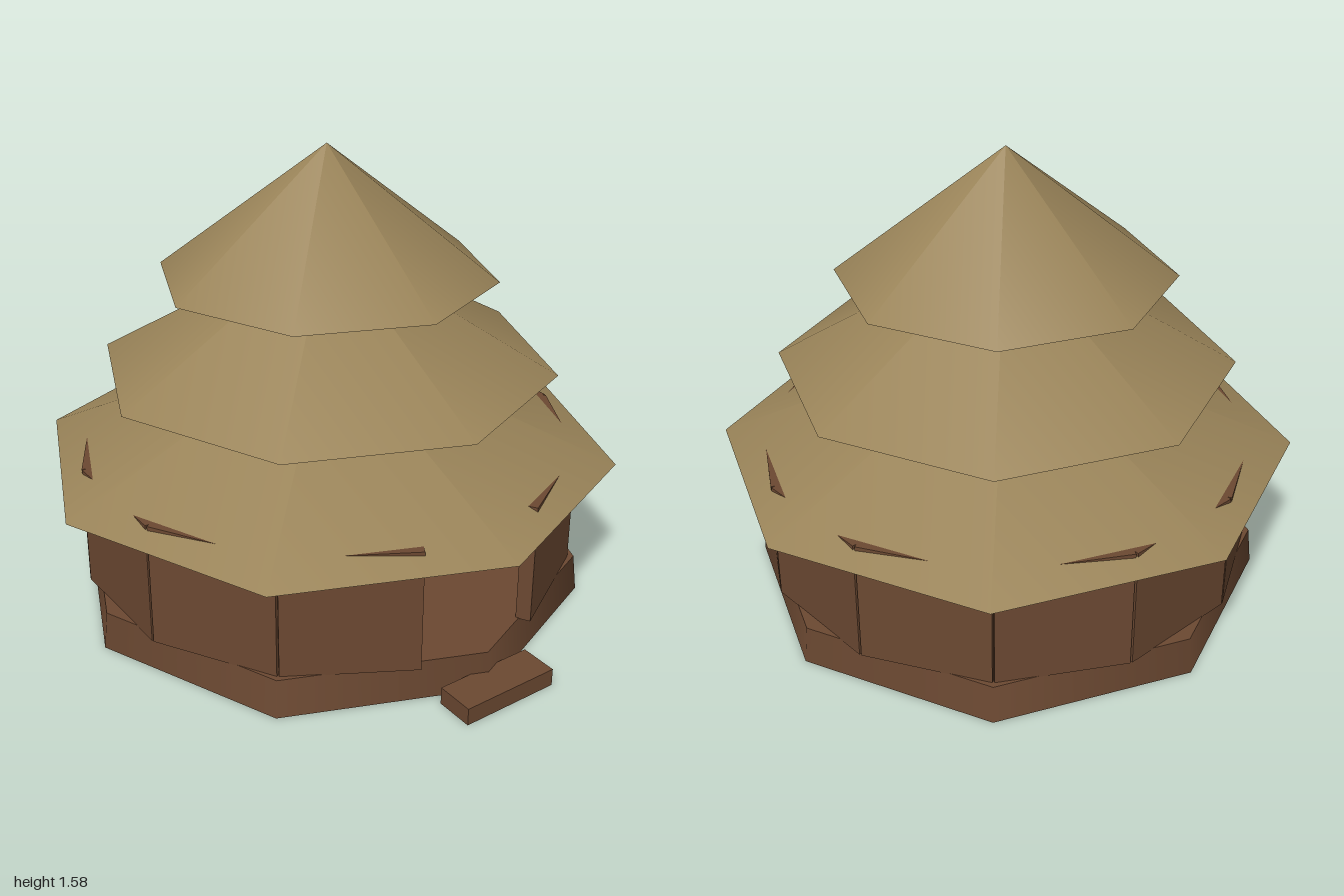
import * as THREE from 'three';

export function createModel() {
  const hut = new THREE.Group();
  hut.name = 'tieredHut';

  const paint = (name, color) => {
    const m = new THREE.MeshStandardMaterial({ color });
    m.name = name;
    return m;
  };
  const thatch = paint('thatch', 0x9a8459);
  const wood = paint('wood', 0x6c4932);
  const darkWood = paint('darkWood', 0x543828);

  const add = (name, geometry, material, x = 0, y = 0, z = 0, parent = hut) => {
    const mesh = new THREE.Mesh(geometry, material);
    mesh.name = name;
    mesh.position.set(x, y, z);
    parent.add(mesh);
    return mesh;
  };

  // Eight-sided platform and the loose entrance step
  add('platform', new THREE.CylinderGeometry(0.885, 0.9, 0.13, 8), wood, 0, 0.065, 0);
  add('entranceStep', new THREE.BoxGeometry(0.35, 0.06, 0.13), wood, 0, 0.03, 0.935);

  // Twelve-sided wall of planks; the front side stays open as the doorway
  const walls = new THREE.Group();
  walls.name = 'walls';
  hut.add(walls);
  const plank = new THREE.BoxGeometry(0.44, 0.423, 0.05);
  for (let i = 1; i < 12; i++) {
    const a = (i / 12) * Math.PI * 2;
    const panel = add('wallPanel', plank, wood, Math.sin(a) * 0.81, 0.3385, Math.cos(a) * 0.81, walls);
    panel.rotation.y = a;
  }

  // Four inner posts that reach up to the second roof
  for (const x of [-0.23, 0.23]) {
    for (const z of [-0.23, 0.23]) {
      add('post', new THREE.CylinderGeometry(0.025, 0.025, 0.71, 8), darkWood, x, 0.485, z);
    }
  }

  // Hearth on the floor
  add('hearth', new THREE.CylinderGeometry(0.11, 0.135, 0.03, 8), wood, 0, 0.145, 0);

  // Ladder behind the hearth
  const ladder = new THREE.Group();
  ladder.name = 'ladder';
  ladder.position.z = -0.2;
  hut.add(ladder);
  for (const x of [-0.056, 0.056]) {
    add('ladderRail', new THREE.CylinderGeometry(0.006, 0.006, 0.4, 6), thatch, x, 0.33, 0, ladder);
  }
  for (let i = 0; i < 5; i++) {
    const rung = add('ladderRung', new THREE.CylinderGeometry(0.004, 0.004, 0.112, 6), thatch, 0, 0.193 + i * 0.065, 0, ladder);
    rung.rotation.z = Math.PI / 2;
  }

  // Three stacked thatch roofs: radius, base height, rise
  const tiers = [
    ['lowerRoof', 1.0, 0.505, 0.42],
    ['middleRoof', 0.785, 0.82, 0.445],
    ['upperRoof', 0.575, 1.138, 0.44],
  ];
  for (const [name, radius, base, rise] of tiers) {
    add(name, new THREE.ConeGeometry(radius, rise, 8), thatch, 0, base + rise / 2, 0);
  }

  return hut;
}
